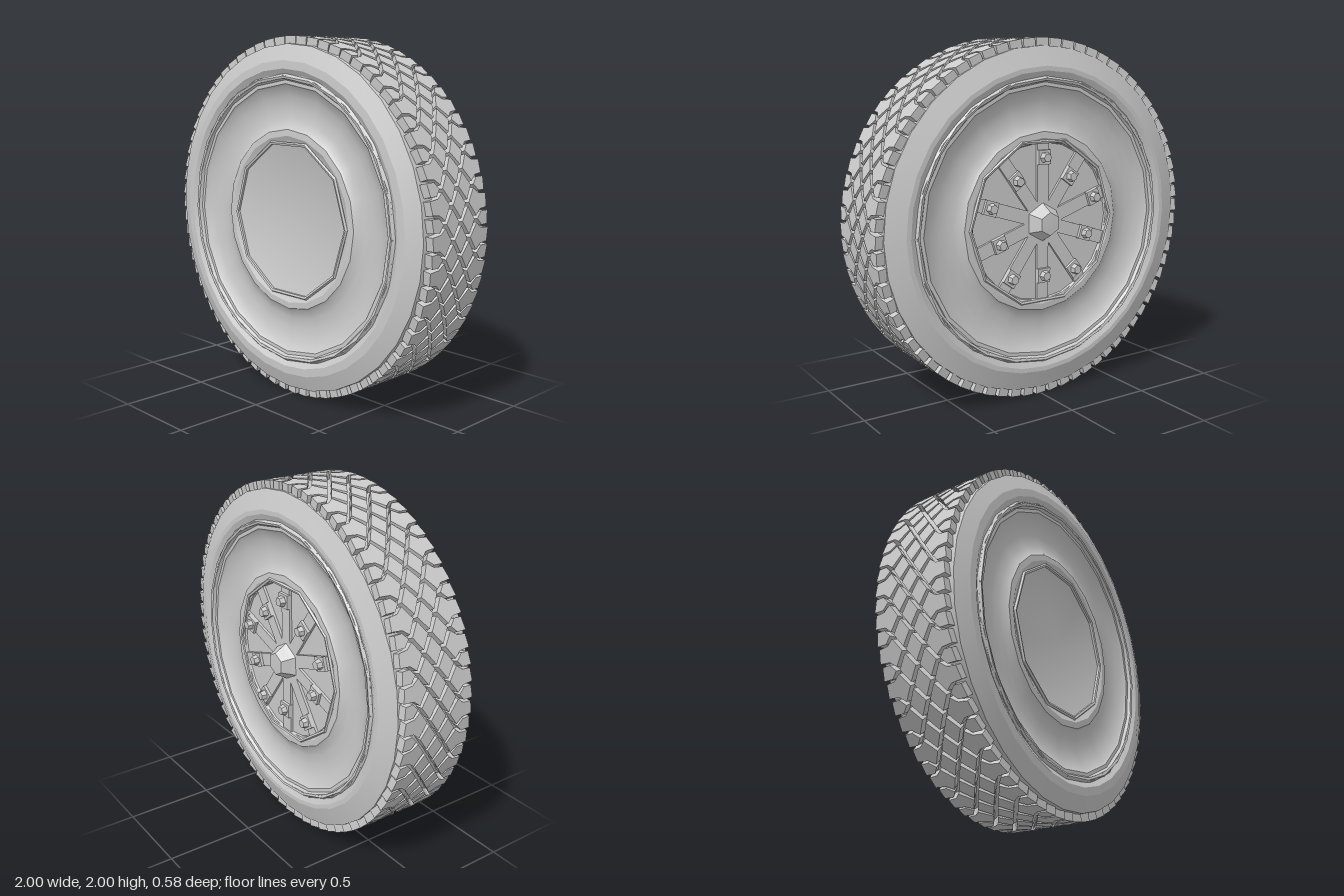
import * as THREE from 'three';
import { mergeGeometries, toCreasedNormals } from 'three/addons/utils/BufferGeometryUtils.js';

const material = new THREE.MeshStandardMaterial({ color: 0xcccccc, side: THREE.DoubleSide });
const flat = new THREE.MeshStandardMaterial({ color: 0xcccccc, flatShading: true, side: THREE.DoubleSide });

// Solid of revolution about the z axle; points are [radius, z].
function turned(name, points, sides, crease) {
  const g = new THREE.LatheGeometry(points.map(([r, z]) => new THREE.Vector2(r, z)), sides);
  g.rotateX(Math.PI / 2);
  const mesh = new THREE.Mesh(toCreasedNormals(g, crease), material);
  mesh.name = name;
  return mesh;
}

// Place a part at an angle and radius; local x is tangent, y is the axle, z is radial.
function around(angle, radius) {
  const c = Math.cos(angle), s = Math.sin(angle);
  return new THREE.Matrix4()
    .makeBasis(new THREE.Vector3(-s, c, 0), new THREE.Vector3(0, 0, 1), new THREE.Vector3(c, s, 0))
    .setPosition(c * radius, s * radius, 0);
}

// Staggered diamond blocks, with pointed shoulder blocks and edge lugs on both sides.
function treadBlocks() {
  const count = 36, column = 0.062, half = Math.PI / count;
  const h = half * 0.8, w = column * 0.8, mid = 0.012;
  const parts = [];
  const block = (angle, points) => {
    const shape = new THREE.Shape(points.map(([x, z]) => new THREE.Vector2(x, z)));
    const g = new THREE.ExtrudeGeometry(shape, { depth: 0.048, bevelEnabled: false });
    parts.push(g.applyMatrix4(around(angle, 0.95)));
  };
  const diamond = (angle, z) => block(angle, [[-h, z], [0, z - w], [h, z], [0, z + w]]);
  for (let i = 0; i < count; i++) {
    const a = i * 2 * half;
    diamond(a, mid);
    for (const side of [-1, 1]) {
      const z = (d) => mid + side * d;
      diamond(a + half, z(column));
      block(a, [[0, z(0.075)], [h, z(0.124)], [h * 0.58, z(0.16)], [h * 0.5, z(0.222)],
        [-h * 0.5, z(0.212)], [-h * 0.58, z(0.16)], [-h, z(0.124)]]);
      block(a + half, [[0, z(0.135)], [h * 0.5, z(0.167)], [h * 0.5, z(0.222)],
        [-h * 0.48, z(0.212)], [-h * 0.5, z(0.167)]]);
    }
  }
  const mesh = new THREE.Mesh(mergeGeometries(parts), flat);
  mesh.name = 'treadBlocks';
  return mesh;
}

export function createModel() {
  const model = new THREE.Group();
  model.name = 'wheel';
  const wheel = new THREE.Group();
  wheel.name = 'wheelAssembly';
  wheel.position.y = 1;
  model.add(wheel);

  // Tyre carcass with nearly flat sidewalls
  wheel.add(turned('tyre', [
    [0.79, -0.235], [0.825, -0.25], [0.85, -0.25], [0.957, -0.213], [0.96, -0.18],
    [0.96, 0.2], [0.957, 0.25], [0.87, 0.284], [0.825, 0.286], [0.79, 0.265],
  ], 32, 0.2));
  wheel.add(treadBlocks());

  // Rims: stepped lip, shallow trough, then a raised ring round the centre
  const dish = [[0.835, 0], [0.82, -0.016], [0.8, -0.016], [0.79, -0.004], [0.775, -0.004],
    [0.765, -0.02], [0.745, -0.02], [0.735, -0.03], [0.68, -0.052], [0.62, -0.063], [0.56, -0.058],
    [0.515, -0.045], [0.5, -0.032], [0.465, -0.03], [0.445, -0.04]];
  wheel.add(turned('frontRim', dish.map(([r, d]) => [r, 0.285 + d]).concat([[0.43, 0.238], [0, 0.238]]), 20, 0.5));
  wheel.add(turned('backRim', [[0, -0.2], [0.44, -0.2]]
    .concat(dish.map(([r, d]) => [r, -0.25 - d]).reverse()), 20, 0.5));

  // Thin beads on the lips and centre rings
  for (const [name, r, z] of [['frontLipBead', 0.782, 0.276], ['backLipBead', 0.782, -0.241],
    ['frontCentreBead', 0.44, 0.248], ['backCentreBead', 0.465, -0.217]]) {
    const bead = new THREE.Mesh(new THREE.TorusGeometry(r, 0.011, 5, r > 0.6 ? 24 : 10), flat);
    bead.name = name;
    bead.position.z = z;
    wheel.add(bead);
  }

  // Back spokes, each with a bolt on a small plate
  const spokes = new THREE.Group();
  spokes.name = 'spokes';
  const count = 10;
  for (let i = 0; i < count; i++) {
    const spoke = new THREE.Group();
    spoke.name = 'spoke';
    spoke.rotation.z = Math.PI / 2 + (i * 2 * Math.PI) / count;
    const add = (name, geometry, x, y, z) => {
      const mesh = new THREE.Mesh(geometry, flat);
      mesh.name = name;
      mesh.position.set(x, y, z);
      spoke.add(mesh);
    };
    add('spokeArm', new THREE.BoxGeometry(0.36, 0.075, 0.03), 0.26, 0, -0.2);
    const r = i % 2 ? 0.3 : 0.36;
    add('boltPlate', new THREE.BoxGeometry(0.08, 0.08, 0.024), r, 0, -0.22);
    add('bolt', new THREE.CylinderGeometry(0.032, 0.025, 0.034, 6).rotateX(Math.PI / 2), r, 0, -0.245);
    spokes.add(spoke);
  }
  wheel.add(spokes);

  // Faceted hub cap on the back
  wheel.add(turned('hubCap', [[0, -0.29], [0.065, -0.287], [0.08, -0.262], [0.088, -0.245],
    [0.1, -0.225], [0.11, -0.212], [0.11, -0.195]], 6, 0.3));

  return model;
}
